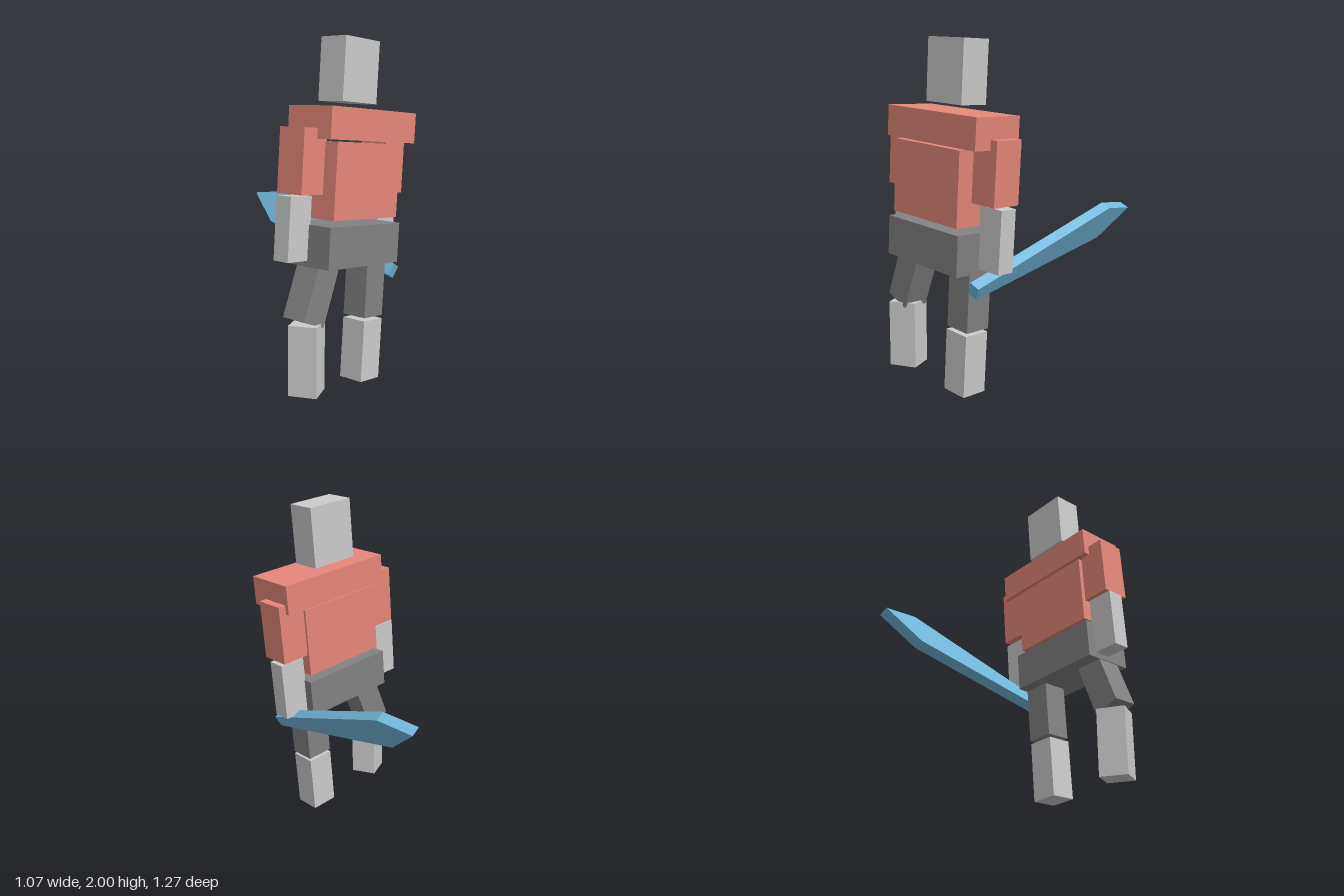
import * as THREE from 'three';

const GREY = 0xcccccc, DARK = 0x828282, RED = 0xe58779, BLUE = 0x72b8dc;
const YAW = -0.145, LEAN = -0.071; // the whole figure is turned and leans slightly

const material = (color) => new THREE.MeshStandardMaterial({ color, flatShading: true });

export function createModel() {
  const model = new THREE.Group();
  model.name = 'blockyFighter';

  // One block of the body, given by size and centre
  const block = (name, color, size, centre, yaw = YAW, lean = LEAN) => {
    const mesh = new THREE.Mesh(new THREE.BoxGeometry(...size), material(color));
    mesh.name = name;
    mesh.position.set(...centre);
    mesh.rotation.set(0, yaw, lean, 'YXZ');
    model.add(mesh);
  };

  // Head and trunk
  block('head', GREY, [0.3, 0.355, 0.178], [0.015, 1.812, 0.387]);
  block('shoulders', RED, [0.754, 0.175, 0.308], [0.005, 1.51, 0.428]);
  block('torso', RED, [0.558, 0.42, 0.29], [-0.047, 1.205, 0.423]);
  block('hips', DARK, [0.615, 0.23, 0.32], [-0.075, 0.848, 0.413]);

  // Arms
  const upperArm = [0.18, 0.355, 0.177], forearm = [0.165, 0.352, 0.105];
  block('rightUpperArm', RED, upperArm, [-0.39, 1.33, 0.343]);
  block('leftUpperArm', RED, upperArm, [0.327, 1.278, 0.434]);
  block('rightForearm', GREY, forearm, [-0.435, 0.968, 0.313]);
  block('leftForearm', GREY, forearm, [0.318, 0.909, 0.42]);

  // Legs: the left one straight, the right one stepping outwards
  const legPart = [0.168, 0.36, 0.157];
  block('leftThigh', DARK, legPart, [0.133, 0.565, 0.435]);
  block('leftShin', GREY, legPart, [0.103, 0.187, 0.433]);
  block('rightThigh', DARK, legPart, [-0.349, 0.616, 0.38], YAW, -0.39);
  block('rightShin', GREY, [0.168, 0.395, 0.16], [-0.4, 0.249, 0.382], 0.31, 0);

  // Sword: flat outline (length along z, width upwards), extruded and tilted
  const outline = new THREE.Shape([
    [0.565, 0.725], [-0.405, 1.133], [-0.635, 1.111], [-0.435, 0.914], [0.545, 0.651],
  ].map(([z, u]) => new THREE.Vector2(z, u)));
  const blade = new THREE.ExtrudeGeometry(outline, { depth: 0.063, bevelEnabled: false });
  blade.applyMatrix4(new THREE.Matrix4().makeBasis(
    new THREE.Vector3(-0.032, 0.017, 1),
    new THREE.Vector3(0.466, 0.885, 0),
    new THREE.Vector3(-0.885, 0.466, 0),
  ).setPosition(-0.0095, 0.005, 0));
  const sword = new THREE.Mesh(blade, material(BLUE));
  sword.name = 'sword';
  model.add(sword);

  return model;
}
